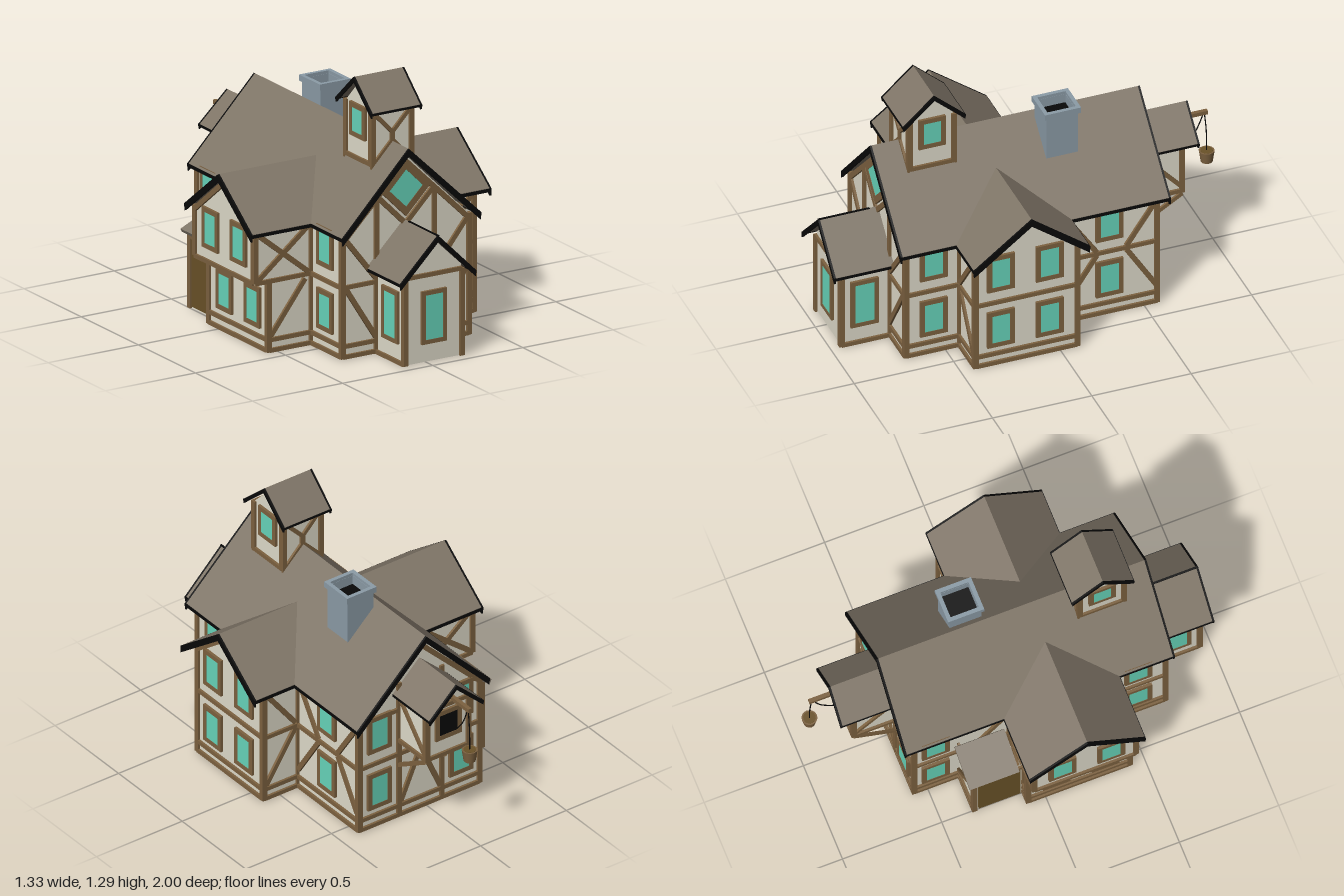
import * as THREE from 'three';

const material = (name, color, side = THREE.FrontSide) => {
  const m = new THREE.MeshStandardMaterial({ color, side });
  m.name = name;
  return m;
};
const plaster = material('plaster', 0xe0dccb, THREE.DoubleSide);
const timber = material('timber', 0x7d6240);
const shingle = material('shingle', 0x7f7567, THREE.DoubleSide);
const trim = material('black trim', 0x080808);
const glass = material('teal glass', 0x68d6bc);
const doorWood = material('door wood', 0x6a5228);
const stone = material('chimney stone', 0x8c9ca7);

const CX = 0.035; // main ridge line
const WZ = 0.17;  // cross wing ridge line

function add(parent, name, geometry, mat, x = 0, y = 0, z = 0) {
  const mesh = new THREE.Mesh(geometry, mat);
  mesh.name = name;
  mesh.position.set(x, y, z);
  parent.add(mesh);
  return mesh;
}
const box = (parent, name, mat, w, h, d, x, y, z) =>
  add(parent, name, new THREE.BoxGeometry(w, h, d), mat, x, y, z);

// A flat wall facing one way; u is the world x or z along it
function facade(root, name, dir, offset) {
  const g = new THREE.Group();
  g.name = name;
  const s = { '+z': 1, '-z': -1, '+x': -1, '-x': 1 }[dir];
  g.rotation.y = { '+z': 0, '-z': Math.PI, '+x': Math.PI / 2, '-x': -Math.PI / 2 }[dir];
  if (dir[1] === 'z') g.position.z = offset; else g.position.x = offset;
  root.add(g);
  const f = {
    wall(points) {
      const shape = new THREE.Shape(points.map(([u, y]) => new THREE.Vector2(u * s, y)));
      add(g, 'wall', new THREE.ShapeGeometry(shape), plaster);
      return f;
    },
    rect: (u0, u1, y0, y1) => f.wall([[u0, y0], [u1, y0], [u1, y1], [u0, y1]]),
    gable: (u0, u1, y0, y1, peak) =>
      f.wall([[u0, y0], [u1, y0], [u1, y1], [(u0 + u1) / 2, peak], [u0, y1]]),
    beams(list, w = 0.025) {
      for (const [u0, y0, u1, y1] of list) {
        const du = (u1 - u0) * s, dy = y1 - y0;
        const b = box(g, 'beam', timber, Math.hypot(du, dy), w, 0.012,
          s * (u0 + u1) / 2, (y0 + y1) / 2, 0.008);
        b.rotation.z = Math.atan2(dy, du);
      }
      return f;
    },
    posts: (us, y0, y1) => f.beams(us.map(u => [u, y0, u, y1])),
    rails: (u0, u1, ys) => f.beams(ys.map(y => [u0, y, u1, y]), 0.021),
    window(u, y, { w = 0.138, h = 0.2, t = 0.024, pane = glass, turn = 0 } = {}) {
      const win = new THREE.Group();
      win.name = 'window';
      win.position.set(u * s, y, 0.009);
      win.rotation.z = turn;
      for (const k of [-1, 1]) {
        box(win, 'frame', timber, t, h, 0.014, k * (w - t) / 2, 0, 0);
        box(win, 'frame', timber, w, t, 0.014, 0, k * (h - t) / 2, 0);
      }
      box(win, 'pane', pane, w - 2 * t, h - 2 * t, 0.008, 0, 0, 0.001);
      g.add(win);
      return f;
    },
  };
  return f;
}

// Pitched roof with black verges and eaves; runs along z, or along x when turned
function gableRoof(root, name, half, eave, peak, from, to, centre, { alongX = false, t = 0.03, shift = 0 } = {}) {
  const g = new THREE.Group(), h = peak - eave, len = to - from, verge = 0.01;
  g.name = name;
  const chevron = (th, depth) => new THREE.ExtrudeGeometry(new THREE.Shape(
    [[-half, 0], [-half, -th], [shift, h - th], [half, -th], [half, 0], [shift, h]]
      .map(p => new THREE.Vector2(...p))), { depth, bevelEnabled: false });
  add(g, 'shingles', chevron(t * 0.55, len - 2 * verge), shingle, 0, 0, -len / 2 + verge);
  for (const k of [-1, 1]) {
    add(g, 'verge', chevron(t * 1.25, verge), trim, 0, 0, k > 0 ? len / 2 - verge : -len / 2);
    box(g, 'eave', trim, 0.006, t * 0.55, len, k * half, -t * 0.35, 0);
  }
  const mid = (from + to) / 2;
  g.position.set(alongX ? mid : centre, eave, alongX ? centre : mid);
  if (alongX) g.rotation.y = Math.PI / 2;
  root.add(g);
}

// Upright square tube
function squareTube(root, name, w, d, wall, y, height, x, z) {
  const ring = (a, b) => [[-a, -b], [a, -b], [a, b], [-a, b]].map(p => new THREE.Vector2(...p));
  const shape = new THREE.Shape(ring(w / 2, d / 2));
  shape.holes.push(new THREE.Path(ring(w / 2 - wall, d / 2 - wall)));
  const geometry = new THREE.ExtrudeGeometry(shape, { depth: height, bevelEnabled: false });
  add(root, name, geometry.rotateX(-Math.PI / 2), stone, x, y, z);
}

export function createModel() {
  const root = new THREE.Group();
  root.name = 'timberHouse';
  const L = -0.31, R = 0.388, B = -0.565, F = 0.697, WB = -0.085, WF = 0.425;
  const low = 0.06, mid = 0.35, levels = [0.008, low, mid];

  // Main house, front and back gables
  const rafters = [[L, 0.575, CX, 0.918], [R, 0.575, CX, 0.918]];
  facade(root, 'frontGable', '+z', F).gable(L, R, 0, 0.6, 0.945)
    .posts([L, R], 0, 0.6).posts([-0.125, 0.195], 0, 0.76).rails(L, R, levels)
    .beams(rafters)
    .beams([[-0.295, 0.34, -0.13, 0.08], [0.375, 0.34, 0.205, 0.08], [-0.295, 0.58, -0.13, 0.37],
      [0.375, 0.58, 0.205, 0.37], [-0.125, 0.77, CX, 0.61], [0.195, 0.77, CX, 0.61]])
    .window(CX, 0.785, { w: 0.196, h: 0.196, t: 0.033, turn: Math.PI / 4 });
  facade(root, 'backGable', '-z', B).gable(L, R, 0, 0.6, 0.945)
    .posts([L, R], 0, 0.6).posts([-0.09, 0.16], 0, 0.75).rails(L, R, [...levels, 0.6])
    .beams(rafters).beams([[-0.08, 0.08, CX, 0.34], [0.15, 0.08, CX, 0.34]])
    .window(-0.2, 0.515).window(-0.2, 0.2).window(0.275, 0.515).window(0.275, 0.2);

  // Main house, side walls on either side of the cross wing
  for (const [dir, x, rearZ] of [['+x', R, -0.325], ['-x', L, -0.46]]) {
    facade(root, 'frontSideWall', dir, x).rect(WF, F, 0, 0.6).posts([WF, F], 0, 0.6)
      .rails(WF, F, levels).window(0.56, 0.515).window(0.56, 0.2);
    const rear = facade(root, 'rearSideWall', dir, x).rect(B, WB, 0, 0.6).posts([B, WB], 0, 0.6)
      .rails(B, WB, levels).window(rearZ, 0.515).window(rearZ, 0.2)
      .beams([[-0.1, 0.6, -0.26, 0.36], [-0.26, 0.34, -0.1, 0.1]]);
    if (dir === '+x') rear.beams([[-0.56, 0.58, -0.41, 0.36], [-0.41, 0.34, -0.56, 0.1]]);
  }
  gableRoof(root, 'mainRoof', 0.383, 0.605, 0.985, -0.62, 0.74, 0.05, { shift: -0.016 });

  // Cross wing, right end
  const W = 0.588, J0 = -0.548, J1 = -0.625;
  const wingRafters = [[WB, 0.58, WZ, 0.777], [WF, 0.58, WZ, 0.777]];
  facade(root, 'wingEnd', '+x', W).gable(WB, WF, 0, 0.595, 0.795).posts([WB, WF], 0, 0.6)
    .rails(WB, WF, levels).beams(wingRafters)
    .window(0.3, 0.515).window(0.055, 0.515).window(0.3, 0.2).window(0.055, 0.2);
  for (const [dir, z] of [['+z', WF], ['-z', WB]]) {
    facade(root, 'wingSide', dir, z).rect(R, W, 0, 0.6).posts([R, W], 0, 0.6)
      .rails(R, W, levels).beams([[0.58, 0.59, 0.41, 0.37], [0.41, 0.34, 0.58, 0.08]]);
    // Left side: lower storey and jettied upper storey
    facade(root, 'jettySide', dir, z).rect(J0, L, 0, mid).rect(J1, L, mid, 0.6)
      .posts([J0, L], 0, mid).posts([J1, L], mid, 0.6)
      .rails(J0, L, [0.008, low]).rails(J1, L, [mid])
      .beams([[-0.54, 0.08, -0.35, 0.33], [-0.615, 0.59, -0.33, 0.36], [-0.615, 0.36, -0.33, 0.59]]);
  }
  facade(root, 'jettyLower', '-x', J0).rect(WB, WF, 0, mid).posts([WB, WF], 0, mid)
    .rails(WB, WF, [0.008, low]).window(0.3, 0.2).window(0.055, 0.2);
  facade(root, 'jettyUpper', '-x', J1).gable(WB, WF, mid, 0.595, 0.795).posts([WB, WF], mid, 0.6)
    .rails(WB, WF, [mid]).beams(wingRafters).window(0.3, 0.515).window(0.055, 0.515);
  box(root, 'jettyFloor', plaster, J0 - J1, 0.01, WF - WB, (J0 + J1) / 2, mid - 0.006, WZ);
  gableRoof(root, 'wingRoof', 0.29, 0.605, 0.825, -0.667, 0.667, WZ, { alongX: true });

  // Front porch
  const P0 = -0.12, P1 = 0.192, PF = 0.945;
  facade(root, 'porchFront', '+z', PF).gable(P0, P1, 0, 0.45, 0.6)
    .posts([P0, P1], 0, 0.43).rails(P0, P1, [0.43]).window(CX, 0.221, { w: 0.14, h: 0.262, t: 0.021 });
  for (const [dir, x] of [['+x', P1], ['-x', P0]])
    facade(root, 'porchSide', dir, x).rect(F, PF, 0, 0.45).posts([PF], 0, 0.43)
      .rails(F, PF, [0.006, 0.42]).window(0.832, 0.224, { w: 0.14, h: 0.258, t: 0.022 });
  gableRoof(root, 'porchRoof', 0.208, 0.425, 0.63, F - 0.02, 1.0, CX - 0.003, { t: 0.025 });
  box(root, 'porchRidge', trim, 0.01, 0.004, 0.26, CX - 0.003, 0.629, 0.87);

  // Roof tower
  const T0 = -0.072, T1 = 0.142, TB = 0.362, TF = 0.582, TZ = 0.4725, TC = 0.035;
  for (const [dir, z] of [['+z', TF], ['-z', TB]])
    facade(root, 'towerWall', dir, z).rect(T0, T1, 0.8, 1.15).posts([T0, T1], 0.86, 1.15)
      .posts([TC], 0.9, 1.04).rails(T0, T1, [1.14])
      .beams([[T0, 1.14, TC, 1.03], [T1, 1.14, TC, 1.03], [T0, 0.88, TC, 0.99], [T1, 0.88, TC, 0.99]], 0.02);
  for (const [dir, x] of [['+x', T1], ['-x', T0]])
    facade(root, 'towerGable', dir, x).gable(TB, TF, 0.8, 1.15, 1.265)
      .posts([TB, TF], 0.88, 1.15).rails(TB, TF, [0.885]).window(TZ, 1.07, { w: 0.135, h: 0.165 });
  gableRoof(root, 'towerRoof', 0.155, 1.15, 1.29, -0.105, 0.178, TZ - 0.003, { alongX: true, t: 0.02 });

  // Chimney with an open flue
  squareTube(root, 'chimneyStack', 0.15, 0.16, 0.01, 0.82, 0.24, 0.137, -0.16);
  squareTube(root, 'chimneyCap', 0.172, 0.182, 0.02, 1.045, 0.03, 0.137, -0.16);
  box(root, 'chimneyFlue', trim, 0.135, 0.006, 0.145, 0.137, 1.01, -0.16);

  // Hoist loft at the back
  const H0 = -0.085, H1 = 0.155, HB = -0.782;
  facade(root, 'loftGable', '-z', HB).gable(H0, H1, 0.43, 0.71, 0.82).posts([H0, H1], 0.42, 0.7)
    .rails(H0, H1, [0.43, 0.7]).window(CX, 0.595, { w: 0.15, h: 0.16, pane: trim });
  for (const [dir, x] of [['+x', H1], ['-x', H0]]) {
    facade(root, 'loftSide', dir, x).rect(HB, B, 0.43, 0.71).posts([HB, B], 0.42, 0.7)
      .rails(HB, B, [0.43]).beams([[HB, 0.45, B, 0.69]], 0.02);
    facade(root, 'loftBrace', dir, x).beams([[HB, 0.415, B, 0.285]], 0.02);
  }
  facade(root, 'loftBrace', '+x', CX).beams([[HB, 0.415, B, 0.285]], 0.02);
  box(root, 'loftFloor', plaster, H1 - H0, 0.01, B - HB, CX, 0.425, (B + HB) / 2);
  gableRoof(root, 'loftRoof', 0.155, 0.695, 0.84, -0.86, -0.55, CX, { t: 0.02 });

  // Hoist arm, ropes and bucket
  box(root, 'hoistArm', timber, 0.02, 0.02, 0.2, 0.032, 0.75, -0.86);
  const rope = points => add(root, 'rope', new THREE.TubeGeometry(new THREE.CatmullRomCurve3(
    points.map(([y, z]) => new THREE.Vector3(0.032, y, z))), 12, 0.003, 5), trim);
  rope([[0.75, -0.945], [0.64, -0.955], [0.53, -0.957]]);
  rope([[0.74, -0.94], [0.65, -0.9], [0.58, -0.84], [0.55, -0.795]]);
  add(root, 'bucket', new THREE.CylinderGeometry(0.038, 0.029, 0.06, 12), timber, 0.032, 0.5, -0.957);
  add(root, 'bucketInside', new THREE.CylinderGeometry(0.03, 0.03, 0.002, 12), doorWood, 0.032, 0.531, -0.957);

  // Lean-to entrance in the rear left corner
  const E = -0.495, EB = -0.335;
  facade(root, 'entranceWall', '-z', EB).wall([[E, 0], [L, 0], [L, 0.45], [E, 0.37]])
    .posts([E], 0, 0.37).rails(E, L, [0.008, low]).beams([[E, 0.36, L, 0.44], [E, 0.32, L, 0.08]]);
  facade(root, 'entranceFront', '-x', E).rect(EB, WB, 0, 0.37).posts([EB, WB], 0, 0.37)
    .rails(EB, WB, [0.355]);
  box(root, 'door', doorWood, 0.012, 0.33, 0.21, E - 0.004, 0.175, -0.21);
  const shed = box(root, 'entranceRoof', shingle, 0.215, 0.018, 0.25, -0.43, 0.42, -0.245);
  shed.rotation.z = Math.atan2(0.09, 0.2);

  return root;
}
